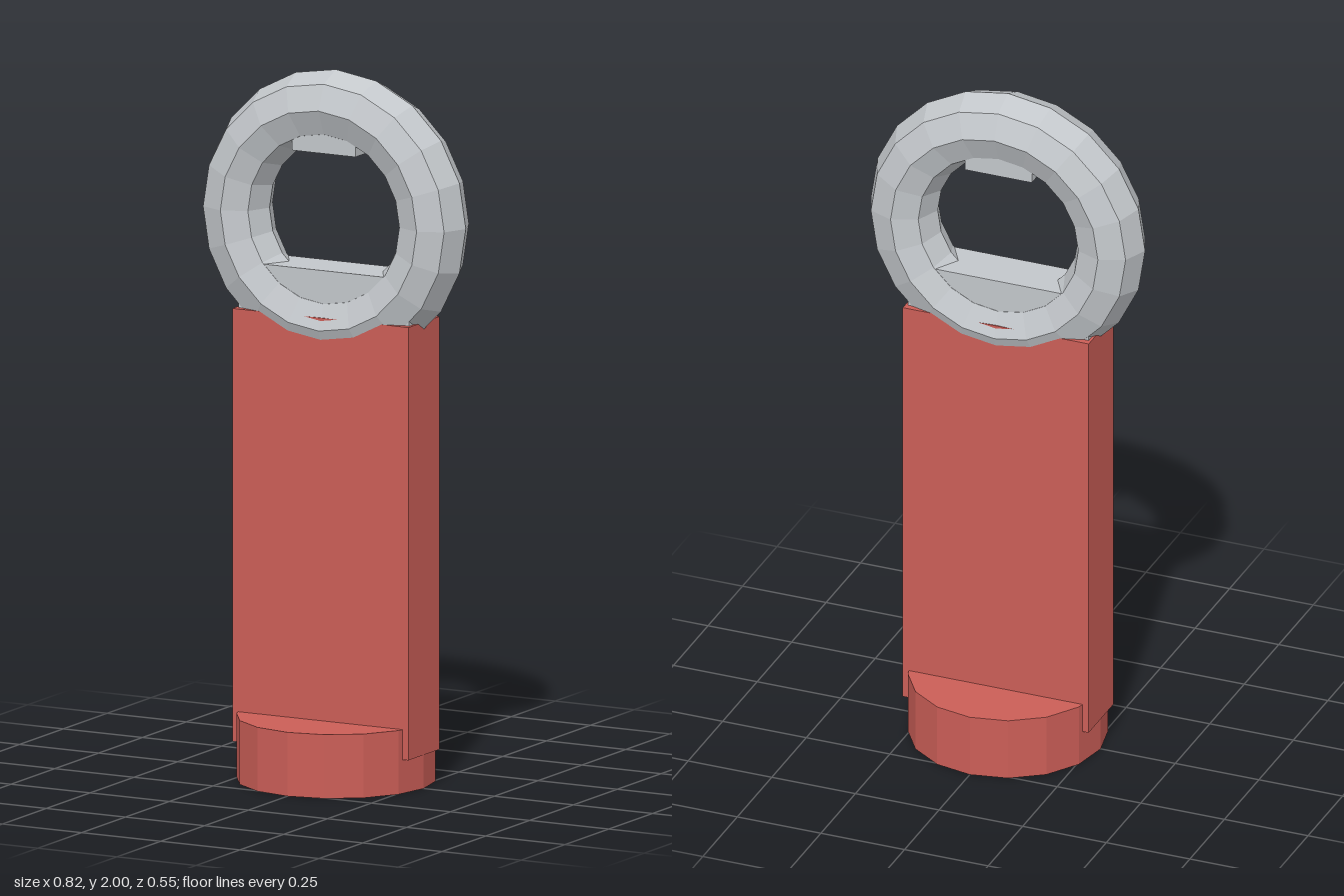
import * as THREE from 'three';

export function createModel() {
  const group = new THREE.Group();
  const red = new THREE.MeshStandardMaterial({ color: 0xcb5e57, flatShading: true });
  red.name = 'red grip';
  const steel = new THREE.MeshStandardMaterial({ color: 0xc3c7cb, flatShading: true });
  steel.name = 'light steel';

  function add(name, geometry, material, y) {
    const mesh = new THREE.Mesh(geometry, material);
    mesh.name = name;
    mesh.position.y = y;
    group.add(mesh);
    return mesh;
  }
  // Box given by its full width, depth and vertical range
  const slab = (name, width, depth, y0, y1, material) =>
    add(name, new THREE.BoxGeometry(width, y1 - y0, depth), material, (y0 + y1) / 2);

  // Round foot and flat handle
  add('foot', new THREE.CylinderGeometry(0.277, 0.277, 0.18, 16), red, 0.09);
  slab('handle', 0.556, 0.178, 0.095, 1.315, red);

  // Opener ring with its tongue and lower bar
  add('ring', new THREE.TorusGeometry(0.31, 0.1, 8, 20), steel, 1.59);
  slab('lowerBar', 0.54, 0.14, 1.15, 1.445, steel);
  slab('upperTongue', 0.2, 0.14, 1.775, 1.87, steel);

  return group;
}
